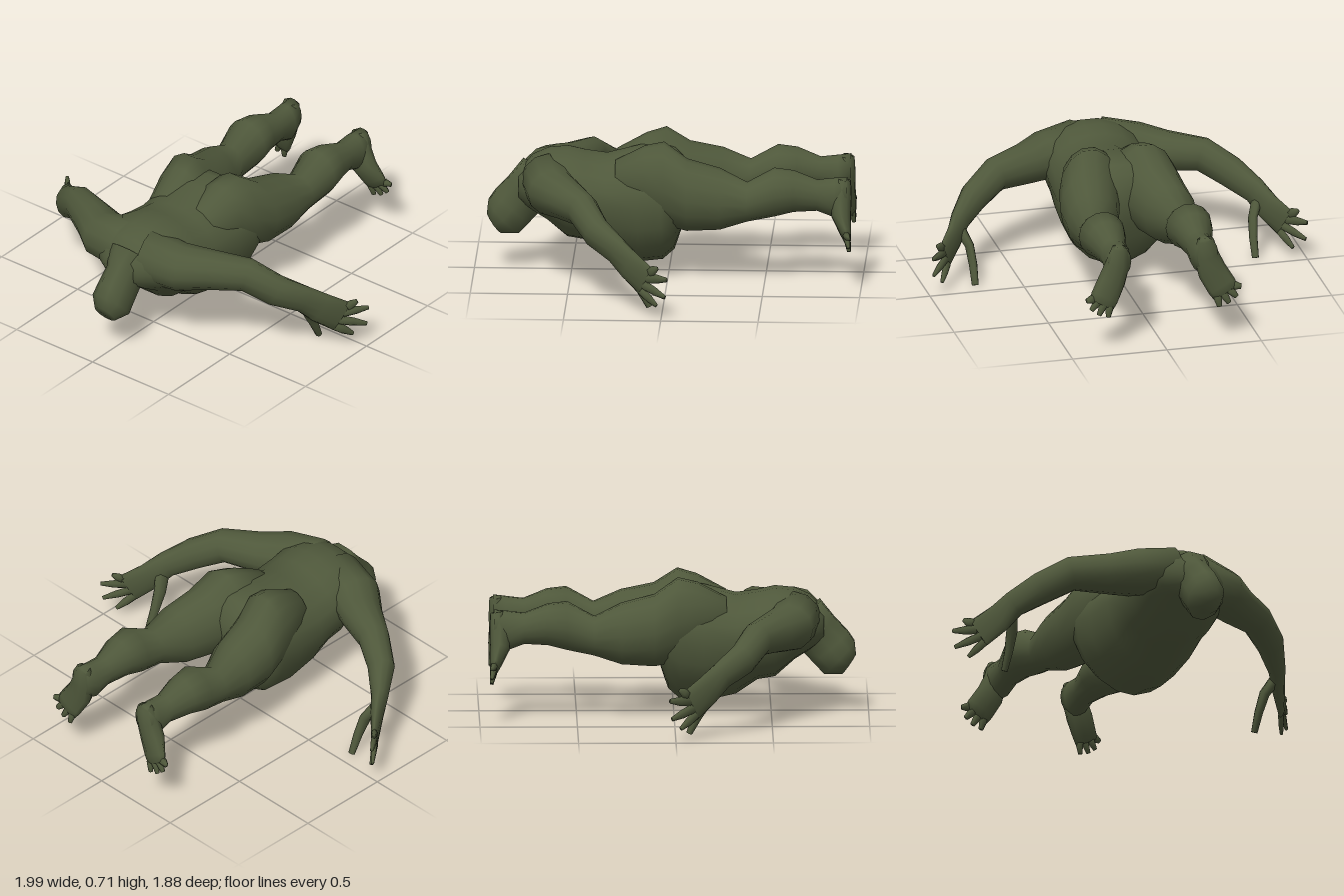
import * as THREE from 'three';

const skin = new THREE.MeshStandardMaterial({ color: 0x4f583b });
skin.name = 'olive skin';
const V = (x, y, z) => new THREE.Vector3(x, y, z);

// Skin a list of equal point rings, close both ends and face outwards
function loft(rings) {
  const n = rings[0].length, pts = rings.flat(), idx = [];
  for (let i = 0; i < rings.length - 1; i++) {
    for (let j = 0; j < n; j++) {
      const a = i * n + j, b = i * n + (j + 1) % n;
      idx.push(a, b, a + n, b, b + n, a + n);
    }
  }
  [0, rings.length - 1].forEach((r, end) => {
    const c = pts.length;
    pts.push(rings[r].reduce((s, p) => s.add(p), V(0, 0, 0)).divideScalar(n));
    for (let j = 0; j < n; j++) {
      const a = r * n + j, b = r * n + (j + 1) % n;
      if (end) idx.push(a, b, c); else idx.push(b, a, c);
    }
  });
  let volume = 0;
  for (let i = 0; i < idx.length; i += 3) {
    volume += pts[idx[i]].dot(V(0, 0, 0).crossVectors(pts[idx[i + 1]], pts[idx[i + 2]]));
  }
  if (volume < 0) idx.reverse();
  const g = new THREE.BufferGeometry().setFromPoints(pts);
  g.setIndex(idx);
  g.computeVertexNormals();
  return g;
}

// Rings upright across z: [z, x centre, top, bottom, half width, height of widest point]
function slices(list, side = 1, n = 14) {
  return loft(list.map(([z, x, top, bot, w, mid = (top + bot) / 2]) =>
    Array.from({ length: n }, (_, j) => {
      const a = j / n * Math.PI * 2, s = Math.sin(a);
      return V(side * (x + w * Math.cos(a)), mid + s * (s > 0 ? top - mid : mid - bot), z);
    })));
}

// Oval rings square to a path: [x, y, z, half size along hint, half size across]
function limb(list, hint, side = 1, n = 10) {
  const c = list.map(p => V(side * p[0], p[1], p[2]));
  const h = V(side * hint[0], hint[1], hint[2]);
  return loft(list.map((p, i) => {
    const t = c[Math.min(i + 1, c.length - 1)].clone().sub(c[Math.max(i - 1, 0)]).normalize();
    const u = h.clone().addScaledVector(t, -h.dot(t)).normalize();
    const v = V(0, 0, 0).crossVectors(t, u);
    return Array.from({ length: n }, (_, j) => {
      const a = j / n * Math.PI * 2;
      return c[i].clone().addScaledVector(u, p[3] * Math.cos(a)).addScaledVector(v, p[4] * Math.sin(a));
    });
  }));
}

export function createModel() {
  const model = new THREE.Group();
  model.name = 'proneFigure';
  const add = (name, geometry) => {
    const m = new THREE.Mesh(geometry, skin);
    m.name = name;
    model.add(m);
  };

  // Trunk with a hanging belly
  add('torso', slices([
    [0.77, 0, 0.53, 0.38, 0.11], [0.70, 0, 0.61, 0.33, 0.22],
    [0.62, 0, 0.645, 0.28, 0.26], [0.52, 0, 0.655, 0.19, 0.27, 0.45],
    [0.43, 0, 0.635, 0.175, 0.27, 0.43], [0.32, 0, 0.62, 0.10, 0.275, 0.41],
    [0.15, 0, 0.665, 0.06, 0.285, 0.4], [0.03, 0, 0.67, 0.075, 0.295, 0.42],
    [-0.03, 0, 0.65, 0.13, 0.29, 0.45], [-0.07, 0, 0.61, 0.25, 0.24],
    [-0.11, 0, 0.55, 0.34, 0.1],
  ], 1, 18));

  // Bowed neck and head
  add('head', limb([
    [0, 0.48, 0.66, 0.14, 0.145], [0, 0.41, 0.74, 0.09, 0.125],
    [0, 0.34, 0.805, 0.095, 0.125], [0, 0.285, 0.85, 0.1, 0.12],
    [0, 0.25, 0.9, 0.06, 0.065],
  ], [1, 0, 0]));

  for (const side of [1, -1]) {
    const s = side > 0 ? 'left' : 'right';

    // Buttock, thigh, calf and ankle
    add(s + 'Leg', slices([
      [0.27, 0.12, 0.62, 0.4, 0.1], [0.12, 0.13, 0.7, 0.35, 0.145],
      [0.02, 0.15, 0.727, 0.29, 0.16], [-0.1, 0.178, 0.645, 0.27, 0.158],
      [-0.27, 0.205, 0.605, 0.285, 0.137], [-0.41, 0.23, 0.54, 0.335, 0.092],
      [-0.55, 0.23, 0.617, 0.365, 0.122], [-0.65, 0.23, 0.605, 0.39, 0.102],
      [-0.77, 0.225, 0.557, 0.395, 0.07], [-0.86, 0.225, 0.568, 0.36, 0.07],
      [-0.925, 0.23, 0.575, 0.4, 0.06],
    ], side));

    // Foot hanging down with toes turned out
    add(s + 'Foot', limb([
      [0.225, 0.56, -0.91, 0.045, 0.035], [0.235, 0.47, -0.895, 0.065, 0.055],
      [0.265, 0.38, -0.895, 0.075, 0.052], [0.31, 0.3, -0.92, 0.077, 0.03],
      [0.33, 0.265, -0.93, 0.072, 0.018],
    ], [1, 0.55, 0], side));
    [[0.375, 0.3, 0.41, 0.295], [0.35, 0.28, 0.385, 0.24],
      [0.315, 0.265, 0.345, 0.21], [0.285, 0.25, 0.295, 0.195]].forEach(([x, y, tx, ty], i) =>
      add(s + 'Toe' + (i + 1), limb([
        [x, y, -0.928, 0.024, 0.02], [tx, ty, -0.938, 0.013, 0.01],
      ], [1, 0.5, 0], side, 6)));

    // Shoulder, arm and flat palm
    add(s + 'Arm', limb([
      [0.06, 0.5, 0.62, 0.14, 0.14], [0.25, 0.48, 0.585, 0.123, 0.135],
      [0.37, 0.475, 0.51, 0.105, 0.11], [0.55, 0.47, 0.42, 0.09, 0.082],
      [0.68, 0.39, 0.345, 0.085, 0.07], [0.78, 0.32, 0.235, 0.075, 0.045],
      [0.83, 0.255, 0.165, 0.085, 0.033], [0.9, 0.19, 0.08, 0.09, 0.018],
    ], [0, 1, 0], side, 12));

    // Fingers and drooping thumb
    [[0.92, 0.245, 0.06, 0.955, 0.275, 0.02], [0.907, 0.21, 0.075, 0.99, 0.225, -0.03],
      [0.893, 0.17, 0.09, 0.985, 0.13, -0.02], [0.88, 0.135, 0.105, 0.93, 0.07, 0.025],
    ].forEach(([x, y, z, tx, ty, tz], i) =>
      add(s + 'Finger' + (i + 1), limb([
        [x, y, z, 0.026, 0.016], [(x + tx) / 2, (y + ty) / 2, (z + tz) / 2, 0.024, 0.015],
        [tx, ty, tz, 0.012, 0.009],
      ], [0.3, 0.87, -0.4], side, 6)));
    add(s + 'Thumb', limb([
      [0.79, 0.28, 0.22, 0.045, 0.03], [0.75, 0.2, 0.16, 0.04, 0.024],
      [0.742, 0.11, 0.115, 0.026, 0.022], [0.742, 0.015, 0.07, 0.016, 0.018],
    ], [0, 0.3, -1], side, 8));
  }
  return model;
}
